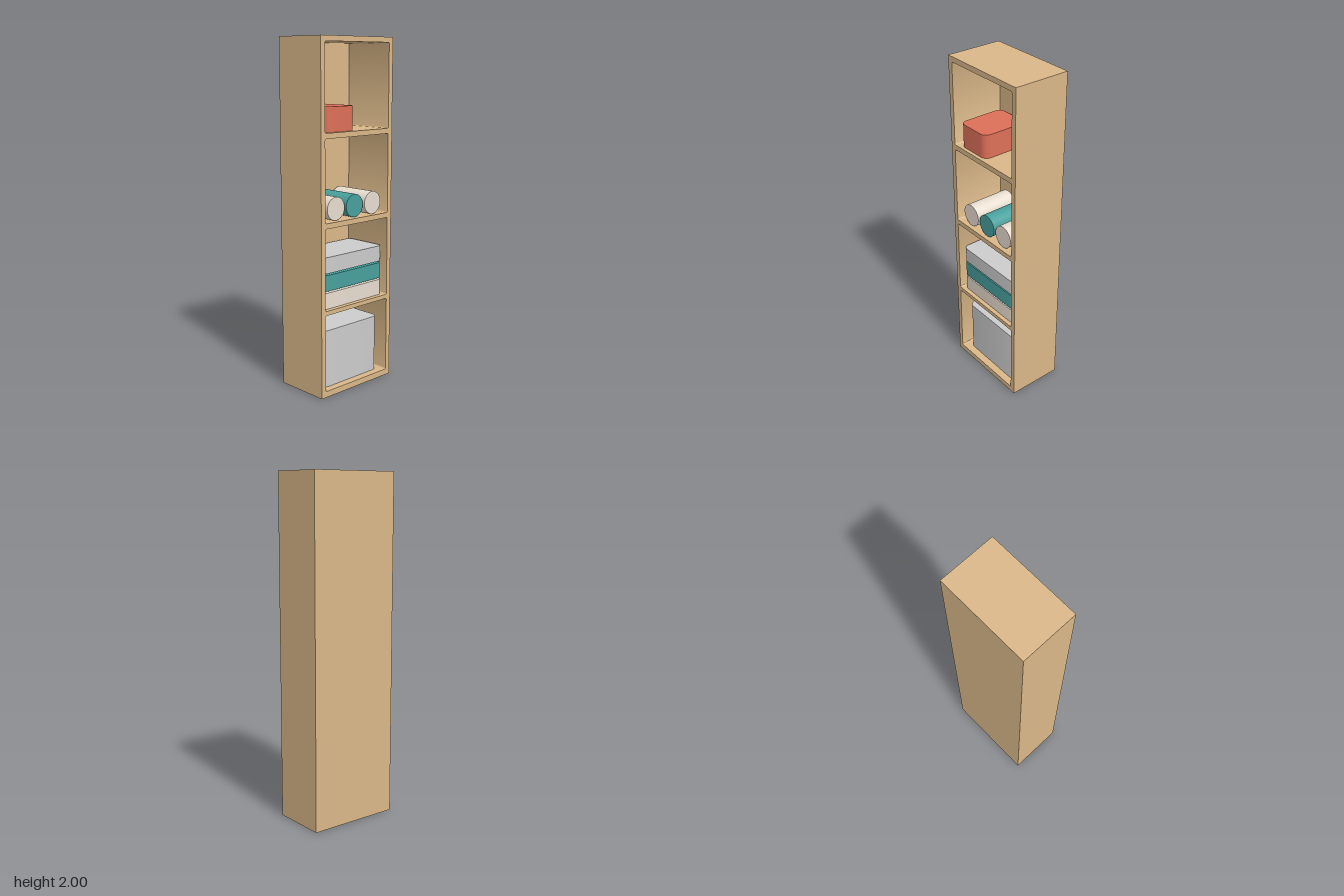
import * as THREE from 'three';
import { toCreasedNormals } from 'three/addons/utils/BufferGeometryUtils.js';

const WOOD = 0xd9b788, RED = 0xdc6f58, TEAL = 0x48a09d, CREAM = 0xe8ddd0, GREY = 0xcccccc;
const material = (color) => new THREE.MeshStandardMaterial({ color });

// Rounded rectangle outline, centred on cx, cy
function roundedRect(path, cx, cy, w, h, r) {
  const x = w / 2 - r, y = h / 2 - r;
  path.absarc(cx + x, cy + y, r, 0, Math.PI / 2);
  path.absarc(cx - x, cy + y, r, Math.PI / 2, Math.PI);
  path.absarc(cx - x, cy - y, r, Math.PI, Math.PI * 1.5);
  path.absarc(cx + x, cy - y, r, Math.PI * 1.5, Math.PI * 2);
  path.closePath();
  return path;
}

function addMesh(group, name, geometry, mat) {
  const mesh = new THREE.Mesh(geometry, mat);
  mesh.name = name;
  group.add(mesh);
  return mesh;
}

// Upright block with rounded vertical edges, spanning y0 to y1
function roundedBlock(group, name, x, w, d, r, y0, y1, color) {
  const shape = roundedRect(new THREE.Shape(), 0, 0, w, d, r);
  const geo = new THREE.ExtrudeGeometry(shape, { depth: y1 - y0, bevelEnabled: false, curveSegments: 8 });
  geo.rotateX(-Math.PI / 2);
  addMesh(group, name, toCreasedNormals(geo, 0.6), material(color)).position.set(x, y0, 0.006);
}

export function createModel() {
  const model = new THREE.Group();
  model.name = 'shelfTower';
  const wood = material(WOOD);
  const W = 0.556, H = 2, D = 0.334, BACK = 0.014;

  // Carcass: one frame with four slightly rounded openings
  const openings = [[0.035, 0.48], [0.505, 0.97], [1.0, 1.46], [1.49, 1.97]];
  const outline = new THREE.Shape();
  outline.moveTo(-W / 2, 0).lineTo(W / 2, 0).lineTo(W / 2, H).lineTo(-W / 2, H).closePath();
  for (const [y0, y1] of openings) {
    outline.holes.push(roundedRect(new THREE.Path(), 0, (y0 + y1) / 2, 0.495, y1 - y0, 0.008));
  }
  const frame = new THREE.ExtrudeGeometry(outline, { depth: D - BACK, bevelEnabled: false, curveSegments: 4 });
  frame.translate(0, 0, -D / 2 + BACK);
  addMesh(model, 'frame', toCreasedNormals(frame, 0.6), wood);
  addMesh(model, 'backPanel', new THREE.BoxGeometry(W, H, BACK), wood)
    .position.set(0, H / 2, -D / 2 + BACK / 2);

  // Bottom compartment: large bin
  roundedBlock(model, 'storageBin', 0, 0.44, 0.23, 0.04, 0.035, 0.37, GREY);

  // Second compartment: stack of folded textiles
  [CREAM, TEAL, GREY].forEach((color, i) => {
    const y0 = 0.506 + i * 0.102;
    roundedBlock(model, 'foldedTowel' + (i + 1), 0, 0.466, 0.27, 0.03, y0, y0 + 0.092, color);
  });

  // Third compartment: three rolls lying front to back
  [CREAM, TEAL, CREAM].forEach((color, i) => {
    const roll = new THREE.CylinderGeometry(0.066, 0.066, 0.27, 32).rotateX(Math.PI / 2);
    addMesh(model, 'rolledTowel' + (i + 1), roll, material(color)).position.set((i - 1) * 0.145, 1.068, 0.008);
  });

  // Top compartment: small box on the right-hand side of the model
  roundedBlock(model, 'smallBox', -0.11, 0.22, 0.28, 0.04, 1.49, 1.628, RED);

  return model;
}
